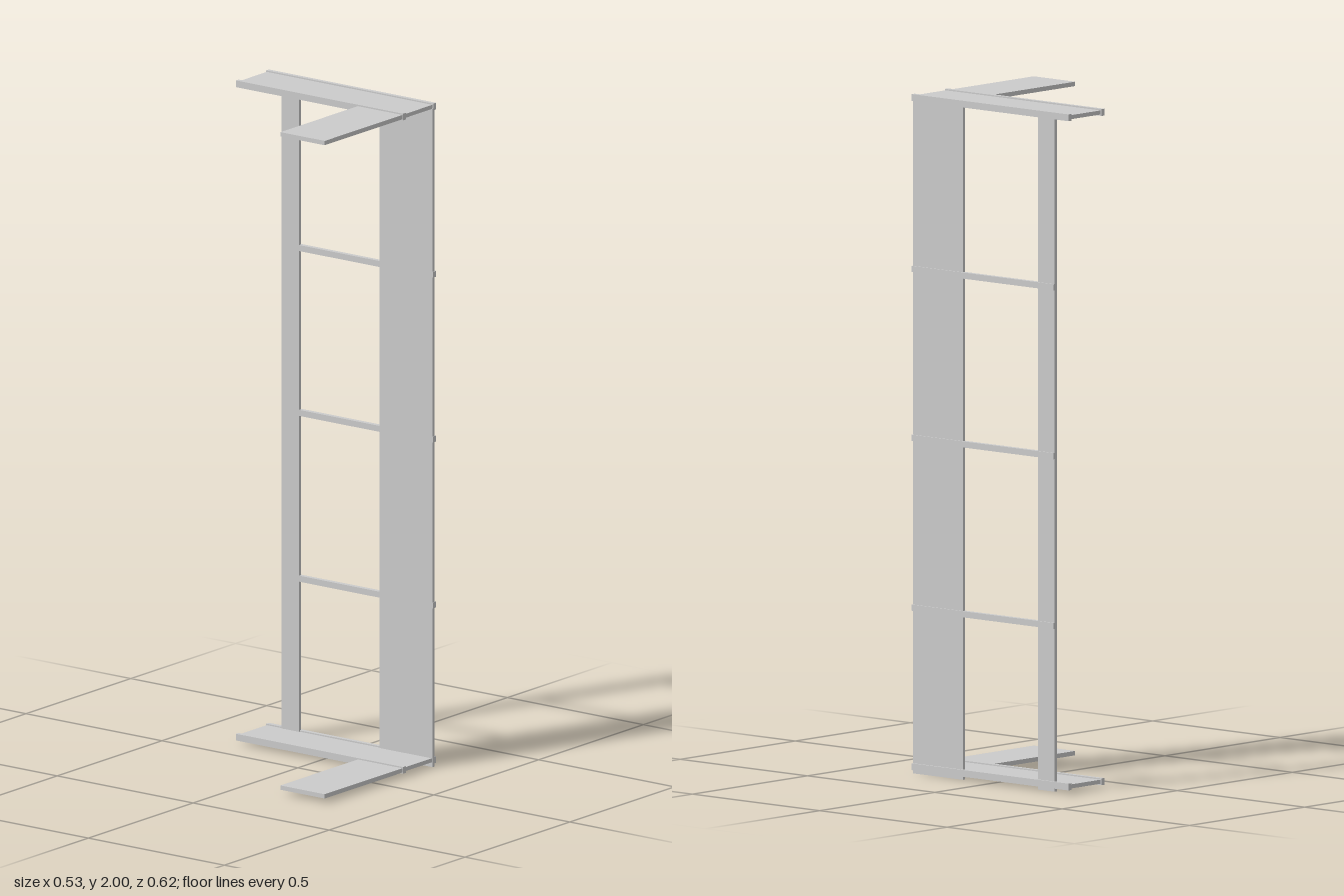
import * as THREE from 'three';

const material = new THREE.MeshStandardMaterial({ color: 0xcccccc });

// Box given by its min and max along each axis
function slab(parent, name, [x0, x1], [y0, y1], [z0, z1]) {
  const mesh = new THREE.Mesh(new THREE.BoxGeometry(x1 - x0, y1 - y0, z1 - z0), material);
  mesh.name = name;
  mesh.position.set((x0 + x1) / 2, (y0 + y1) / 2, (z0 + z1) / 2);
  parent.add(mesh);
  return mesh;
}

// L-shaped shelf: deep side board, front arm and the two edge rails
function createShelf(name, y) {
  const shelf = new THREE.Group();
  shelf.name = name;
  slab(shelf, 'sideBoard', [0.108, 0.255], [-0.006, 0.006], [-0.306, 0.303]);
  slab(shelf, 'frontArm', [-0.265, 0.108], [-0.007, 0.006], [0.14, 0.303]);
  slab(shelf, 'innerRail', [0.105, 0.118], [-0.01, 0.01], [-0.309, 0.306]);
  slab(shelf, 'outerRail', [0.249, 0.262], [-0.01, 0.01], [-0.309, 0.306]);
  shelf.position.y = y;
  return shelf;
}

export function createModel() {
  const model = new THREE.Group();
  model.name = 'ladderFrame';

  // Top and bottom shelves
  model.add(createShelf('topShelf', 1.99), createShelf('bottomShelf', 0.02));

  // Upright wide panel at the front and narrow post at the back
  slab(model, 'widePanel', [0.246, 0.256], [0, 1.985], [0.11, 0.306]);
  slab(model, 'narrowPost', [0.246, 0.256], [0, 1.985], [-0.25, -0.185]);

  // Cross rungs
  for (const y of [0.488, 0.988, 1.485]) {
    slab(model, 'rung', [0.246, 0.26], [y - 0.009, y + 0.009], [-0.25, 0.308]);
  }
  return model;
}
